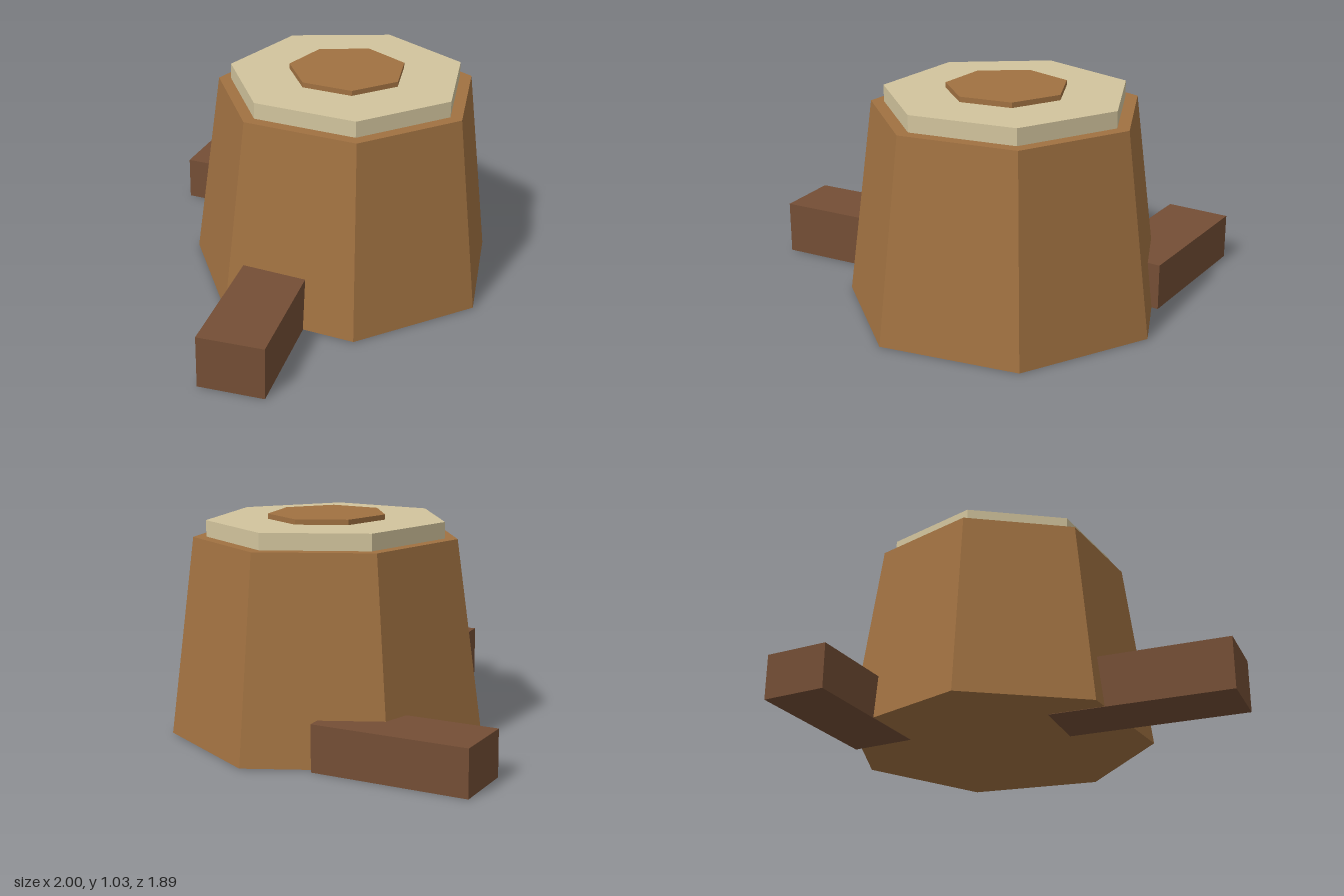
import * as THREE from 'three';

export function createModel() {
  const bark = new THREE.MeshStandardMaterial({ color: 0xa07141 });
  bark.name = 'bark brown';
  const cutWood = new THREE.MeshStandardMaterial({ color: 0xd2c49d });
  cutWood.name = 'cut wood cream';
  const rootBrown = new THREE.MeshStandardMaterial({ color: 0x744e35 });
  rootBrown.name = 'root dark brown';

  const model = new THREE.Group();
  model.name = 'treeStump';

  // Stacked seven-sided prisms with faceted normals, sharing one axis
  const stump = new THREE.Group();
  stump.name = 'stump';
  stump.position.set(0.27, 0, 0.2);
  model.add(stump);
  const prism = (name, rTop, rBottom, y0, y1, material) => {
    const geometry = new THREE.CylinderGeometry(rTop, rBottom, y1 - y0, 7).toNonIndexed();
    geometry.computeVertexNormals();
    const mesh = new THREE.Mesh(geometry, material);
    mesh.name = name;
    mesh.position.y = (y0 + y1) / 2;
    stump.add(mesh);
  };
  prism('trunk', 0.622, 0.746, 0.002, 0.932, bark);
  prism('cutTop', 0.562, 0.562, 0.9, 1.008, cutWood);
  prism('heartwood', 0.278, 0.278, 0.98, 1.032, bark);

  // Block roots lying on the ground
  const root = (name, x, z, height, length, angle) => {
    const mesh = new THREE.Mesh(new THREE.BoxGeometry(0.308, height, length), rootBrown);
    mesh.name = name;
    mesh.position.set(x, height / 2, z);
    mesh.rotation.y = angle;
    model.add(mesh);
  };
  root('sideRoot', -0.538, 0.321, 0.25, 0.87, Math.PI / 2 + 0.35);
  root('backRoot', 0.58, -0.55, 0.216, 0.74, 0.257);

  return model;
}
